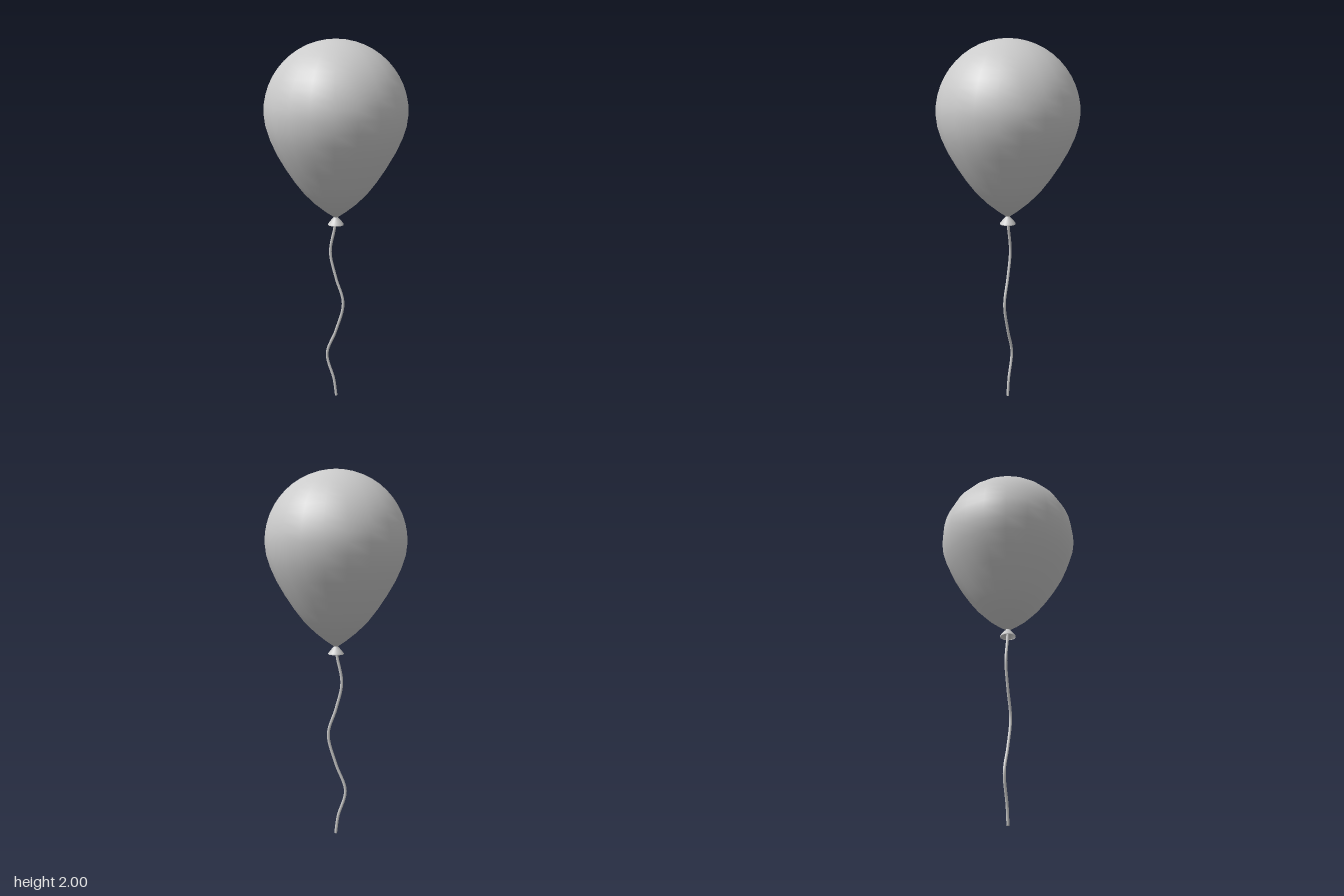
import * as THREE from 'three';

const SIDES = 20;

export function createModel() {
  const model = new THREE.Group();
  const material = new THREE.MeshStandardMaterial({ color: 0xcccccc });
  const openMaterial = new THREE.MeshStandardMaterial({ color: 0xcccccc, side: THREE.DoubleSide });

  const add = (name, geometry, mat = material) => {
    const mesh = new THREE.Mesh(geometry, mat);
    mesh.name = name;
    model.add(mesh);
    return mesh;
  };

  // Balloon: tapering lower half, then a round dome
  const profile = [
    [0.008, 1.06], [0.055, 1.092], [0.115, 1.14], [0.175, 1.2], [0.225, 1.265],
    [0.275, 1.34], [0.32, 1.418], [0.352, 1.49], [0.372, 1.555],
  ].map(([r, y]) => new THREE.Vector2(r, y));
  const domeSteps = 12;
  for (let i = 0; i <= domeSteps; i++) {
    const a = (i / domeSteps) * Math.PI / 2;
    profile.push(new THREE.Vector2(i === domeSteps ? 0 : 0.38 * Math.cos(a), 1.62 + 0.38 * Math.sin(a)));
  }
  add('balloon', new THREE.LatheGeometry(profile, SIDES));

  // Knot: small flared skirt, open underneath
  const skirt = [[0.042, 1.018], [0.043, 1.023], [0.026, 1.045], [0.012, 1.06], [0.01, 1.07]]
    .map(([r, y]) => new THREE.Vector2(r, y));
  add('knot', new THREE.LatheGeometry(skirt, SIDES), openMaterial);

  // String: wavy tube with a closed lower end
  const path = new THREE.CatmullRomCurve3([
    [0, 1.06], [-0.007, 1.0], [-0.032, 0.86], [0, 0.715], [0.043, 0.57],
    [0, 0.4], [-0.053, 0.25], [-0.012, 0.1], [0.002, 0],
  ].map(([x, y]) => new THREE.Vector3(x, y, 0)));
  add('string', new THREE.TubeGeometry(path, 60, 0.008, 8, false));

  const end = add('stringEnd', new THREE.CircleGeometry(0.008, 8));
  end.rotation.x = Math.PI / 2;
  end.position.set(0.002, 0, 0);

  return model;
}
